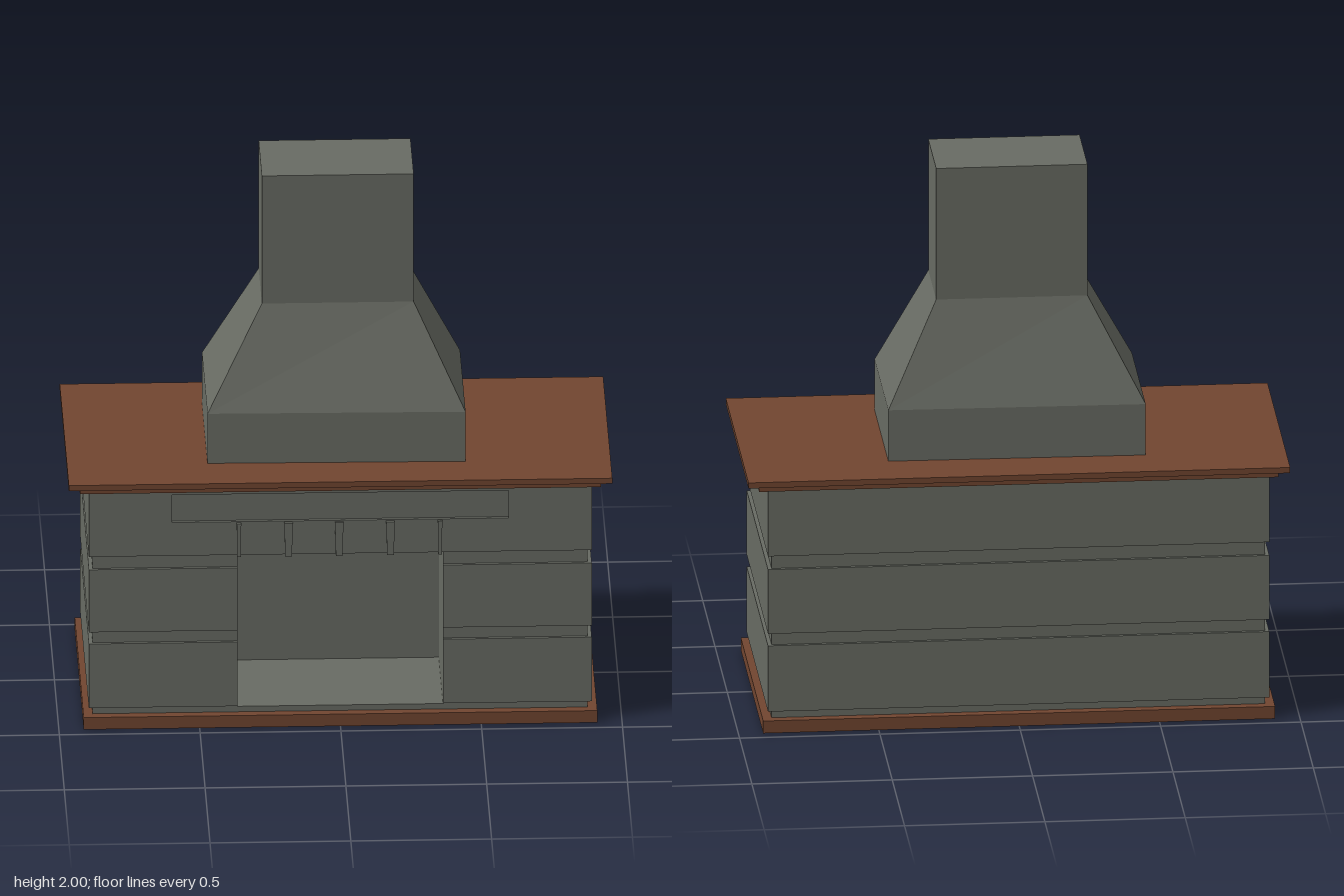
import * as THREE from 'three';

const stone = new THREE.MeshStandardMaterial({ color: 0x686b63 });
stone.name = 'grey stone';
const wood = new THREE.MeshStandardMaterial({ color: 0x714530 });
wood.name = 'brown slab';

function add(parent, name, geometry, material) {
  const mesh = new THREE.Mesh(geometry, material);
  mesh.name = name;
  parent.add(mesh);
  return mesh;
}

// Flat slab between two heights
function slab(parent, name, halfX, halfZ, y0, y1) {
  const mesh = add(parent, name, new THREE.BoxGeometry(halfX * 2, y1 - y0, halfZ * 2), wood);
  mesh.position.y = (y0 + y1) / 2;
}

// Stone course: a rectangle in plan, optionally notched from the front
function course(parent, name, halfX, halfZ, y0, y1, notch) {
  const s = new THREE.Shape();
  s.moveTo(-halfX, -halfZ);
  if (notch) {
    s.lineTo(-notch.halfX, -halfZ);
    s.lineTo(-notch.halfX, -notch.backZ);
    s.lineTo(notch.halfX, -notch.backZ);
    s.lineTo(notch.halfX, -halfZ);
  }
  s.lineTo(halfX, -halfZ);
  s.lineTo(halfX, halfZ);
  s.lineTo(-halfX, halfZ);
  const g = new THREE.ExtrudeGeometry(s, { depth: y1 - y0, bevelEnabled: false });
  g.rotateX(-Math.PI / 2);
  add(parent, name, g, stone).position.y = y0;
}

// Flat-faced solid through four-cornered rings, counter-clockwise seen from above
function loft(rings) {
  const pos = [];
  const quad = (a, b, c, d) => pos.push(...a, ...b, ...c, ...a, ...c, ...d);
  for (let r = 0; r < rings.length - 1; r++) {
    for (let i = 0; i < 4; i++) {
      const j = (i + 1) % 4;
      quad(rings[r][i], rings[r][j], rings[r + 1][j], rings[r + 1][i]);
    }
  }
  quad(...rings[rings.length - 1]);
  quad(...rings[0].slice().reverse());
  const g = new THREE.BufferGeometry();
  g.setAttribute('position', new THREE.Float32BufferAttribute(pos, 3));
  g.computeVertexNormals();
  return g;
}

export function createModel() {
  const model = new THREE.Group();
  model.name = 'fireplace';

  // Base and stepped mantel top
  slab(model, 'baseSlab', 0.912, 0.455, 0, 0.046);
  slab(model, 'mantelUnderSlab', 0.925, 0.442, 0.902, 0.923);
  slab(model, 'mantelTopSlab', 0.965, 0.462, 0.923, 0.944);

  // Stone courses with recessed joints, open at the firebox and the frieze panel
  const body = new THREE.Group();
  body.name = 'body';
  model.add(body);
  const firebox = { halfX: 0.365, backZ: 0.0 };
  const panel = { halfX: 0.597, backZ: 0.42 };
  const outer = [0.893, 0.433], inner = [0.879, 0.421];
  course(body, 'hearthFloor', ...inner, 0.046, 0.067);
  course(body, 'bottomJoint', ...inner, 0.067, 0.073, firebox);
  course(body, 'lowerCourse', ...outer, 0.073, 0.32, firebox);
  course(body, 'lowerJoint', ...inner, 0.32, 0.365, firebox);
  course(body, 'middleCourse', ...outer, 0.365, 0.606, firebox);
  course(body, 'upperJoint', ...inner, 0.606, 0.656, firebox);
  course(body, 'lintelCourse', ...outer, 0.656, 0.784, null);
  course(body, 'friezeCourse', ...outer, 0.784, 0.89, panel);
  course(body, 'topCourse', ...outer, 0.89, 0.902, null);

  // Narrow tapered keystones over the opening
  const keys = new THREE.Group();
  keys.name = 'keystones';
  model.add(keys);
  [[-0.36, 0.008], [-0.184, 0.015], [-0.004, 0.015], [0.178, 0.015], [0.354, 0.008]].forEach(([x, w], i) => {
    const s = new THREE.Shape();
    s.moveTo(-w * 0.8, 0.652);
    s.lineTo(w * 0.8, 0.652);
    s.lineTo(w, 0.78);
    s.lineTo(-w, 0.78);
    const g = new THREE.ExtrudeGeometry(s, { depth: 0.026, bevelEnabled: false });
    add(keys, 'keystone' + (i + 1), g, stone).position.set(x, 0, 0.419);
  });

  // Chimney hood, slightly skewed at its foot, narrowing into a straight shaft
  const foot = y => [[-0.466, y, 0.277], [0.45, y, 0.29], [0.45, y, -0.27], [-0.466, y, -0.282]];
  const shaft = y => [[-0.269, y, 0.161], [0.27, y, 0.161], [0.27, y, -0.161], [-0.269, y, -0.161]];
  add(model, 'chimney', loft([foot(0.943), foot(1.135), shaft(1.508), shaft(2)]), stone);

  return model;
}
